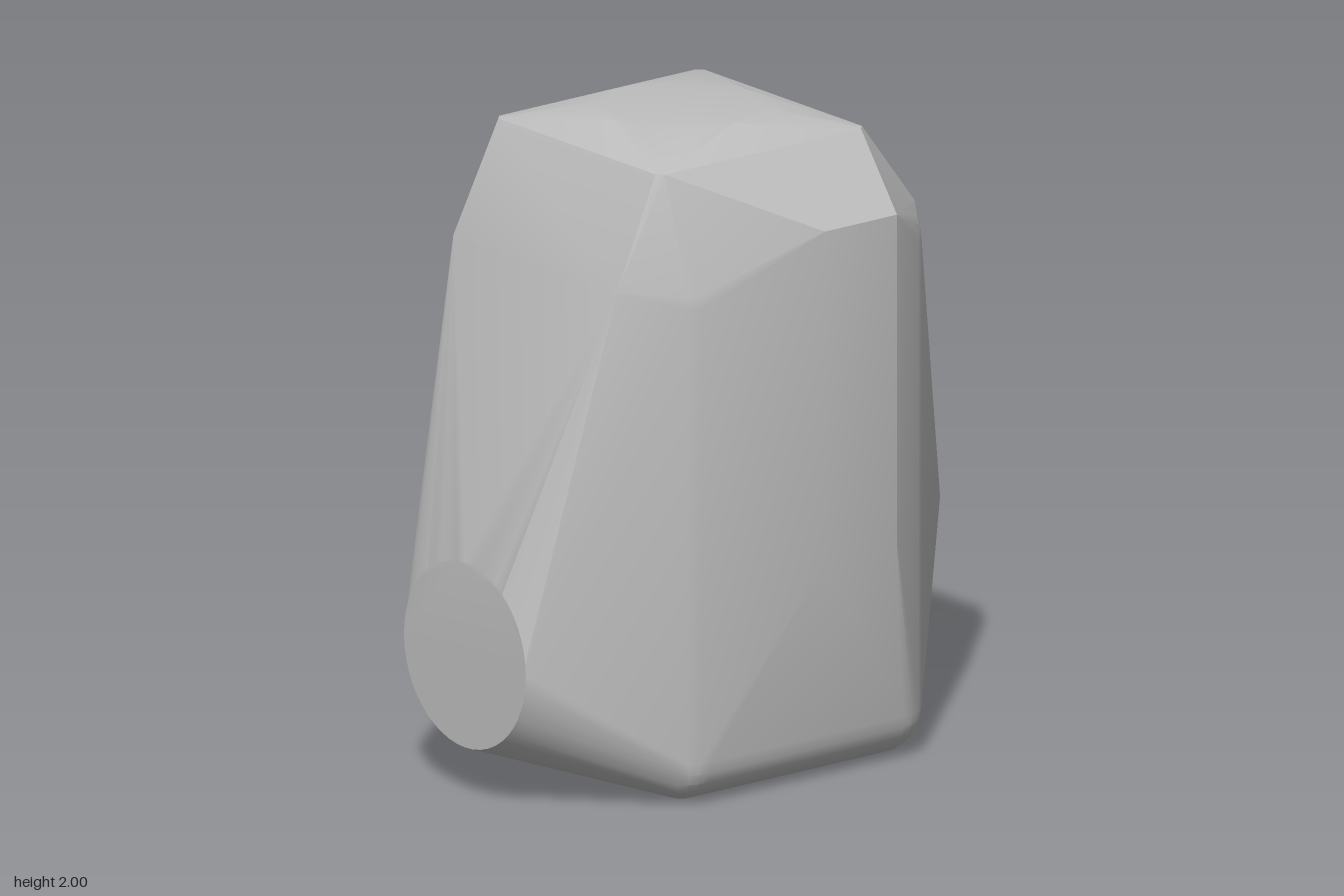
import * as THREE from 'three';
import { ConvexGeometry } from 'three/addons/geometries/ConvexGeometry.js';
import { toCreasedNormals } from 'three/addons/utils/BufferGeometryUtils.js';

export function createModel() {
  const group = new THREE.Group();
  const grey = new THREE.MeshStandardMaterial({ color: 0xbfbfbf });
  grey.name = 'plain grey';

  const points = [];
  const add = (x, y, z) => points.push(new THREE.Vector3(x, y, z));

  // Rounded corner: a ball of points
  const ball = (x, y, z, r) => {
    const rings = 12, sides = 24;
    add(x, y + r, z);
    add(x, y - r, z);
    for (let i = 1; i < rings; i++) {
      const p = (i / rings) * Math.PI;
      for (let j = 0; j < sides; j++) {
        const a = (j / sides) * Math.PI * 2;
        add(x + r * Math.sin(p) * Math.cos(a), y + r * Math.cos(p), z + r * Math.sin(p) * Math.sin(a));
      }
    }
  };

  // Body corners, bottom and shoulder
  for (const x of [-0.41, 0.35]) {
    for (const z of [-0.46, 0.28]) {
      ball(x, 0.14, z, 0.14);
      ball(x, z > 0 ? 1.55 : 1.6, z, 0.14);
    }
  }

  // Round front end and round crown
  const n = 48;
  for (let i = 0; i < n; i++) {
    const a = (i / n) * Math.PI * 2;
    add(-0.028 + 0.287 * Math.cos(a), 0.45 + 0.287 * Math.sin(a), 0.8);
    if (i % 3 === 0) add(-0.03 + 0.25 * Math.cos(a), 2, -0.025 + 0.25 * Math.sin(a));
  }

  // Roof edge, front shoulder and back shoulder
  for (const side of [-1, 1]) {
    const at = (half) => -0.03 + side * half;
    add(at(0.39), 1.945, 0.35);
    add(at(0.37), 1.945, 0.37);
    add(at(0.39), 1.945, -0.4);
    add(at(0.37), 1.945, -0.42);
    add(at(0.385), 1.61, 0.53);
    add(at(0.41), 1.69, -0.59);
    // Back bulge
    add(at(0.27), 0.7, -0.8);
    add(at(0.14), 0.32, -0.8);
    add(at(0.2), 0.11, -0.64);
  }

  // Raised side panel
  for (const y of [0.7, 1.725]) {
    for (const z of [-0.11, -0.385]) add(0.548, y, z);
  }

  const shell = new THREE.Mesh(toCreasedNormals(new ConvexGeometry(points), 0.3), grey);
  shell.name = 'shell';
  group.add(shell);
  return group;
}
